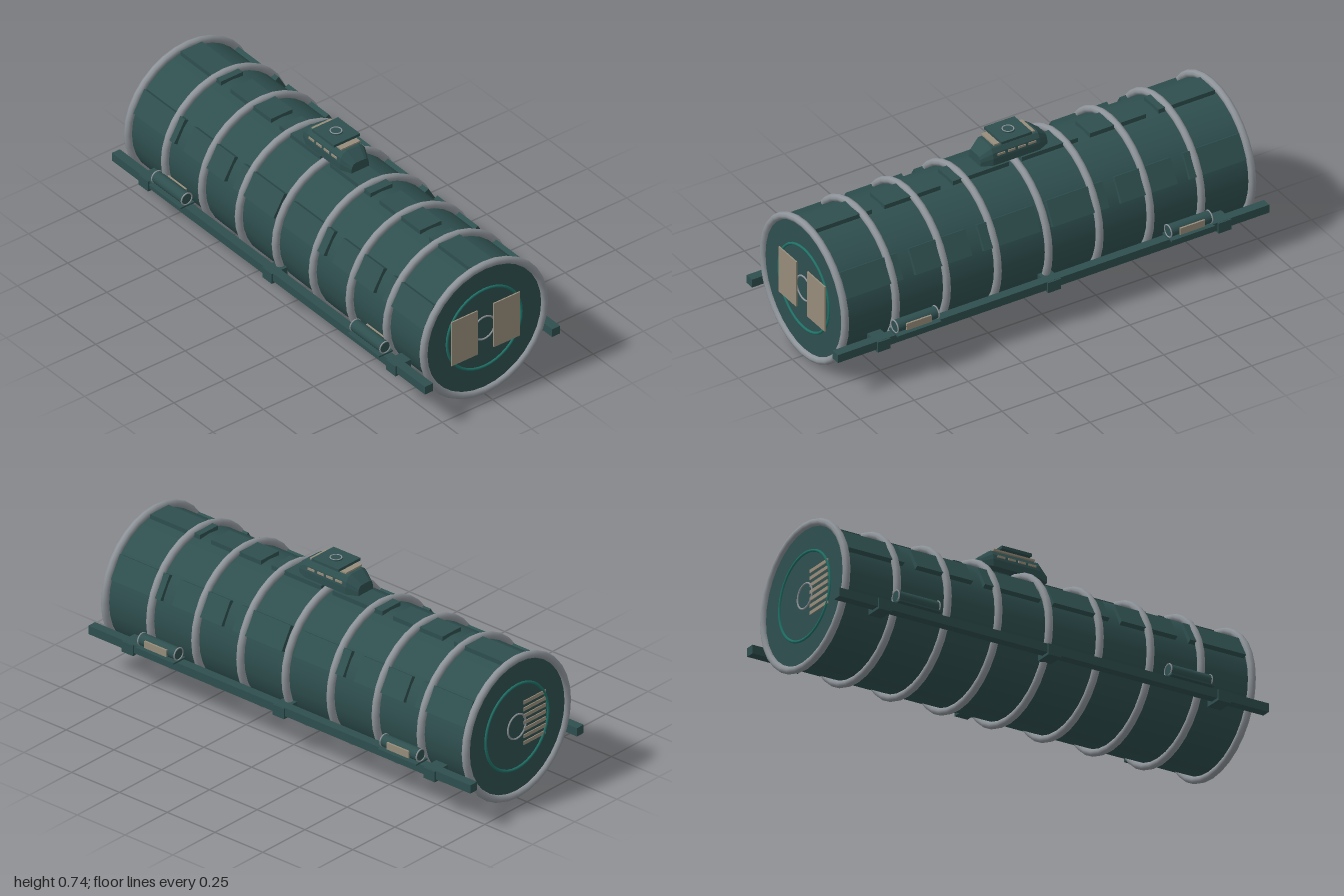
import * as THREE from 'three';

const flat = (name, color) => {
  const m = new THREE.MeshStandardMaterial({ color });
  m.name = name;
  return m;
};

export function createModel() {
  const dark = flat('dark green paint', 0x2f4f4f);
  const steel = flat('grey steel', 0x8e949a);
  const tan = flat('tan panel', 0x968c7a);
  const teal = flat('teal trim', 0x1f7268);

  const root = new THREE.Group();
  root.name = 'tank';
  const AXIS = 0.316, R = 0.287;

  const add = (name, geo, mat, x, y, z, parent = root) => {
    const mesh = new THREE.Mesh(geo, mat);
    mesh.name = name;
    mesh.position.set(x, y, z);
    parent.add(mesh);
    return mesh;
  };
  const box = (name, mat, w, h, d, x, y, z, parent) =>
    add(name, new THREE.BoxGeometry(w, h, d), mat, x, y, z, parent);
  // Ring and cylinder whose axis runs along x
  const ringX = (name, mat, r, tube, x, y, z, segs = 32, parent = root) =>
    add(name, new THREE.TorusGeometry(r, tube, 8, segs).rotateY(Math.PI / 2), mat, x, y, z, parent);
  const cylX = (name, mat, r, len, x, y, z, segs = 32, parent = root) =>
    add(name, new THREE.CylinderGeometry(r, r, len, segs).rotateZ(Math.PI / 2), mat, x, y, z, parent);

  // Tank body with hoops
  cylX('tankBody', dark, R, 1.89, 0, AXIS, 0);
  for (let i = -4; i <= 4; i++) ringX('hoop', steel, 0.3, 0.016, i * 0.236, AXIS, 0);

  // Raised plates in three rows along the upper half
  for (const deg of [30, 90, 150]) {
    const row = new THREE.Group();
    row.name = 'plateRow';
    row.position.y = AXIS;
    row.rotation.x = THREE.MathUtils.degToRad(90 - deg);
    for (const x of [0.16, 0.476, 0.795])
      for (const s of [-1, 1]) box('bodyPlate', dark, 0.26, 0.02, 0.108, s * x, 0.291, 0, row);
    root.add(row);
  }

  // End trim
  for (const s of [-1, 1]) {
    ringX('endTrimRing', teal, 0.185, 0.006, s * 0.946, AXIS, 0, 40);
    ringX('endHubRing', steel, 0.053, 0.004, s * 0.946, AXIS, 0, 24);
    box('endPanel', tan, 0.006, 0.21, 0.13, 0.955, AXIS, s * 0.105);
  }
  // Slatted panel on the other end
  for (let i = 0; i < 7; i++)
    box('endSlat', tan, 0.004, 0.015, 0.13, -0.947, AXIS - 0.09 + i * 0.03, 0.105);

  // Side rails, brackets and the small cylinders they carry
  for (const s of [-1, 1]) {
    box('sideRail', dark, 2, 0.037, 0.04, 0, 0.19, s * 0.316);
    for (const x of [-0.79, 0, 0.79])
      box('railBracket', dark, 0.06, 0.047, 0.078, x, 0.184, s * 0.304);
    for (const x of [-0.634, 0.634]) {
      const unit = new THREE.Group();
      unit.name = 'sideCylinder';
      unit.position.set(x, 0.241, s * 0.323);
      box('cylinderBase', dark, 0.2, 0.007, 0.07, 0, -0.029, 0, unit);
      cylX('cylinderBody', dark, 0.026, 0.19, 0, 0, 0, 16, unit);
      for (const e of [-1, 1]) ringX('cylinderRim', steel, 0.026, 0.003, e * 0.095, 0, 0, 20, unit);
      box('cylinderLabelPlate', tan, 0.115, 0.03, 0.008, 0, 0, -0.027, unit);
      root.add(unit);
    }
  }

  // Turret body: arched cross-sections lofted along x
  const arch = [[-1, 0], [-1, 0.4], [-0.93, 0.68], [-0.75, 0.92], [-0.5, 1],
    [0.5, 1], [0.75, 0.92], [0.93, 0.68], [1, 0.4], [1, 0]];
  const stations = [[-0.155, 0.043, 0.042], [-0.108, 0.065, 0.078], [0.108, 0.065, 0.078], [0.155, 0.043, 0.042]];
  const pts = [], idx = [], n = arch.length;
  for (const [x, w, h] of stations) for (const [u, v] of arch) pts.push(x, 0.632 + v * h, u * w);
  for (let s = 0; s < 3; s++)
    for (let i = 0; i < n; i++) {
      const a = s * n + i, b = s * n + (i + 1) % n;
      idx.push(a, a + n, b, b, a + n, b + n);
    }
  for (let i = 1; i < n - 1; i++) {
    idx.push(0, i, i + 1);
    idx.push(3 * n, 3 * n + i + 1, 3 * n + i);
  }
  // Face the loft outward
  for (let i = 0; i < idx.length; i += 3) {
    const [a, b, c] = [0, 1, 2].map(k => new THREE.Vector3().fromArray(pts, idx[i + k] * 3));
    const out = a.clone().add(b).add(c).divideScalar(3).sub(new THREE.Vector3(0, 0.65, 0));
    if (b.sub(a).cross(c.sub(a)).dot(out) < 0) [idx[i + 1], idx[i + 2]] = [idx[i + 2], idx[i + 1]];
  }
  let loft = new THREE.BufferGeometry();
  loft.setAttribute('position', new THREE.Float32BufferAttribute(pts, 3));
  loft.setIndex(idx);
  loft = loft.toNonIndexed();
  loft.computeVertexNormals();
  add('turretBody', loft, dark, 0, 0, 0);

  // Turret slits, roof plate and hatch
  for (const s of [-1, 1])
    for (const x of [-0.072, -0.024, 0.024, 0.072])
      box('turretSlit', tan, 0.034, 0.009, 0.004, x, 0.678, s * 0.0655);
  box('roofPlate', tan, 0.19, 0.007, 0.094, 0, 0.7135, 0);
  box('hatch', dark, 0.14, 0.012, 0.13, 0, 0.724, 0);
  add('hatchCap', new THREE.CylinderGeometry(0.028, 0.028, 0.004, 20), dark, 0, 0.732, 0);
  add('hatchRing', new THREE.TorusGeometry(0.023, 0.003, 6, 20).rotateX(Math.PI / 2), steel, 0, 0.733, 0);

  return root;
}
